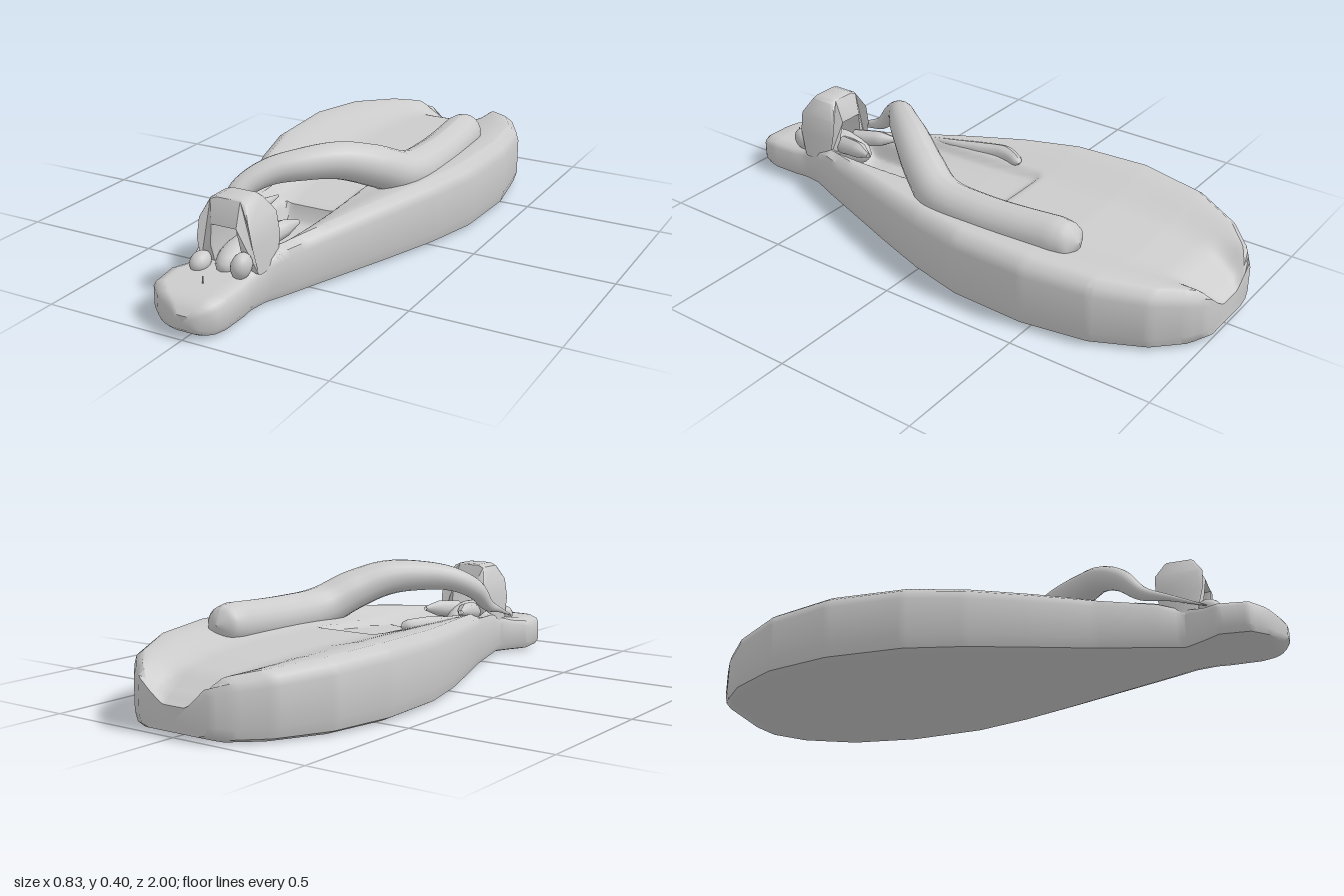
import * as THREE from 'three';
import { toCreasedNormals } from 'three/addons/utils/BufferGeometryUtils.js';

const material = new THREE.MeshStandardMaterial({ color: 0xcccccc, side: THREE.DoubleSide });
const smooth = THREE.MathUtils.smoothstep;

// Linear lookup in a short table of [z, a, b, c, ...] rows
function lookup(table, z) {
  let i = 0;
  while (i < table.length - 2 && z > table[i + 1][0]) i++;
  const a = table[i], b = table[i + 1];
  const t = THREE.MathUtils.clamp((z - a[0]) / (b[0] - a[0]), 0, 1);
  return a.map((v, k) => v + (b[k] - v) * t);
}

// z, left edge x, right edge x, underside y, rim y
const HULL = [
  [-1, -0.14, 0.14, 0.02, 0.18], [-0.96, -0.2, 0.2, 0.006, 0.2], [-0.87, -0.29, 0.29, 0.004, 0.218],
  [-0.7, -0.38, 0.375, 0.004, 0.238], [-0.47, -0.42, 0.415, 0.004, 0.25], [-0.2, -0.405, 0.405, 0.004, 0.248],
  [0, -0.352, 0.355, 0.004, 0.238], [0.2, -0.28, 0.285, 0.004, 0.223], [0.4, -0.205, 0.21, 0.004, 0.205],
  [0.6, -0.145, 0.135, 0.004, 0.185], [0.68, -0.12, 0.1, 0.004, 0.16], [0.75, -0.155, 0.092, 0.006, 0.138],
  [0.8, -0.185, 0.098, 0.007, 0.132], [0.9, -0.172, 0.1, 0.008, 0.13], [0.95, -0.12, 0.09, 0.012, 0.122],
  [0.98, -0.06, 0.065, 0.02, 0.108], [1, -0.025, 0.03, 0.04, 0.085],
];

// Deck height: rim minus the central channel, tail notch, shallow shelf and pit
function deckHeight(x, z, rim) {
  const wide = lookup(HULL, z)[2];
  const side = Math.abs(x + 0.005);
  const channel = 0.04 * (1 - smooth(side, wide * 0.25, wide * 0.85)) * (1 - smooth(z, 0.55, 0.72));
  const notch = 0.04 * (1 - smooth(side, 0.09, 0.17)) * (1 - smooth(z, -1, -0.82));
  const shelf = 0.02 * smooth(z, -0.18, -0.15) * (1 - smooth(z, 0.5, 0.6))
    * (1 - smooth(Math.abs(x + 0.03), 0.115, 0.14));
  const pit = 0.06 * smooth(z, 0.225, 0.25) * (1 - smooth(z, 0.54, 0.62))
    * (1 - smooth(Math.abs(x + 0.015), 0.07, 0.1));
  return rim - channel - notch - shelf - pit;
}

// Hull lofted from closed cross-sections running tail to nose
function hullGeometry() {
  const rows = 140, across = 44, pos = [], index = [];
  let n = 0;
  for (let i = 0; i <= rows; i++) {
    const z = -1 + 2 * i / rows;
    const [, l, r, b, h] = lookup(HULL, z);
    const c = Math.min(0.04, (r - l) * 0.2), v = (h - b) * 0.22;
    const ring = [[l + c, b], [l + c * 0.3, b + v * 0.25], [l, b + v], [l, h - v], [l + c * 0.25, h - v * 0.4]];
    const right = ring.map(([x, y]) => [r - (x - l), y]).reverse();
    for (let k = 0; k <= across; k++) {
      const x = l + c + (r - l - 2 * c) * k / across;
      ring.push([x, deckHeight(x, z, h)]);
    }
    ring.push(...right);
    n = ring.length;
    for (const [x, y] of ring) pos.push(x, y, z);
  }
  for (let i = 0; i < rows; i++) for (let j = 0; j < n; j++) {
    const a = i * n + j, b = i * n + (j + 1) % n, c = a + n, d = b + n;
    index.push(a, c, b, b, c, d);
  }
  // Tail and nose caps
  const tail = pos.length / 3, nose = tail + 1, last = rows * n;
  pos.push(0, 0.05, -1, 0, 0.06, 1);
  for (let j = 0; j < n; j++) {
    const k = (j + 1) % n;
    index.push(tail, j, k, nose, last + k, last + j);
  }
  const g = new THREE.BufferGeometry();
  g.setAttribute('position', new THREE.Float32BufferAttribute(pos, 3));
  g.setIndex(index);
  return toCreasedNormals(g, 0.7);
}

// Tube whose radius changes along its path; points are [x, y, z, radius]
function taperedTube(points, segments = 60, sides = 14) {
  const curve = new THREE.CatmullRomCurve3(points.map(p => new THREE.Vector3(p[0], p[1], p[2])));
  const g = new THREE.TubeGeometry(curve, segments, 1, sides);
  const p = g.attributes.position, v = new THREE.Vector3();
  const radii = points.map((q, i) => [i, q[3]]);
  for (let i = 0; i <= segments; i++) {
    const t = curve.getUtoTmapping(i / segments);
    const c = curve.getPoint(t), r = lookup(radii, t * (points.length - 1))[1];
    for (let j = 0; j <= sides; j++) {
      const k = i * (sides + 1) + j;
      v.fromBufferAttribute(p, k).sub(c).multiplyScalar(r).add(c);
      p.setXYZ(k, v.x, v.y, v.z);
    }
  }
  g.computeVertexNormals();
  return g;
}

// Arched bracket: extruded outline with a window, pinched towards its top and foot
function bracketGeometry() {
  const shape = new THREE.Shape([
    [-0.115, 0.13], [-0.06, 0.13], [-0.066, 0.2], [-0.055, 0.275], [0.036, 0.275], [0.046, 0.2], [0.04, 0.13],
    [0.098, 0.13], [0.092, 0.22], [0.08, 0.29], [0.05, 0.343], [0.03, 0.352], [-0.055, 0.352],
    [-0.078, 0.343], [-0.1, 0.29], [-0.112, 0.22],
  ].map(p => new THREE.Vector2(...p)));
  const g = new THREE.ExtrudeGeometry(shape, {
    depth: 0.14, bevelEnabled: true, bevelSize: 0.004, bevelThickness: 0.012, bevelSegments: 1,
  });
  const p = g.attributes.position;
  for (let i = 0; i < p.count; i++) {
    const y = p.getY(i);
    const s = 1 - 0.45 * smooth(y, 0.28, 0.36) - 0.3 * (1 - smooth(y, 0.14, 0.24));
    p.setZ(i, 0.67 + (p.getZ(i) - 0.07) * s);
  }
  return toCreasedNormals(g, 0.6);
}

export function createModel() {
  const model = new THREE.Group();
  const add = (name, geometry, position = [0, 0, 0], scale = [1, 1, 1], rotation = [0, 0, 0]) => {
    const mesh = new THREE.Mesh(geometry, material);
    mesh.name = name;
    mesh.position.set(...position);
    mesh.scale.set(...scale);
    mesh.rotation.set(...rotation);
    model.add(mesh);
  };

  add('hull', hullGeometry());
  add('bracket', bracketGeometry());

  // Large curved arm that lies on the deck, rises and thins to a point at the nose
  add('curvedArm', taperedTube([
    [0.22, 0.255, -0.57, 0.001], [0.22, 0.255, -0.55, 0.058], [0.225, 0.25, -0.49, 0.073],
    [0.235, 0.235, -0.2, 0.076], [0.22, 0.245, -0.02, 0.076], [0.165, 0.298, 0.1, 0.072],
    [0.09, 0.338, 0.21, 0.064], [0.01, 0.342, 0.31, 0.055], [-0.075, 0.326, 0.4, 0.045],
    [-0.13, 0.28, 0.48, 0.037], [-0.142, 0.215, 0.55, 0.024], [-0.14, 0.185, 0.64, 0.011],
    [-0.125, 0.145, 0.76, 0.002],
  ], 90, 18));

  // Slim lever on the right of the shelf
  add('sideLever', taperedTube([
    [-0.17, 0.22, -0.07, 0.002], [-0.178, 0.222, -0.055, 0.02], [-0.208, 0.217, 0.02, 0.03],
    [-0.2, 0.205, 0.14, 0.026], [-0.182, 0.2, 0.26, 0.016], [-0.172, 0.195, 0.39, 0.002],
  ], 36, 10));
  add('pitFlange', taperedTube([
    [-0.12, 0.19, 0.26, 0.004], [-0.13, 0.185, 0.33, 0.018], [-0.15, 0.18, 0.41, 0.004],
  ], 12, 8));

  // Rounded tongue passing under the bracket
  add('tongue', new THREE.SphereGeometry(1, 20, 12), [-0.008, 0.145, 0.64], [0.062, 0.063, 0.14]);

  // Horns behind the bracket and knobs at its front feet
  for (const s of [-1, 1]) {
    add(s < 0 ? 'rightHorn' : 'leftHorn', taperedTube([
      [-0.012 + s * 0.08, 0.195, 0.44, 0.008], [-0.012 + s * 0.06, 0.19, 0.5, 0.03],
      [-0.012 + s * 0.035, 0.175, 0.6, 0.034],
    ], 14, 8));
    add(s < 0 ? 'rightFoot' : 'leftFoot', new THREE.IcosahedronGeometry(1, 2),
      [-0.015 + s * 0.076, s < 0 ? 0.148 : 0.165, 0.765], [0.032, s < 0 ? 0.032 : 0.045, 0.042], [0.3, 0, -s * 0.2]);
  }

  // Small pin on the nose
  add('nosePin', new THREE.CylinderGeometry(0.002, 0.002, 0.03, 6), [-0.013, 0.14, 0.865]);

  return model;
}
